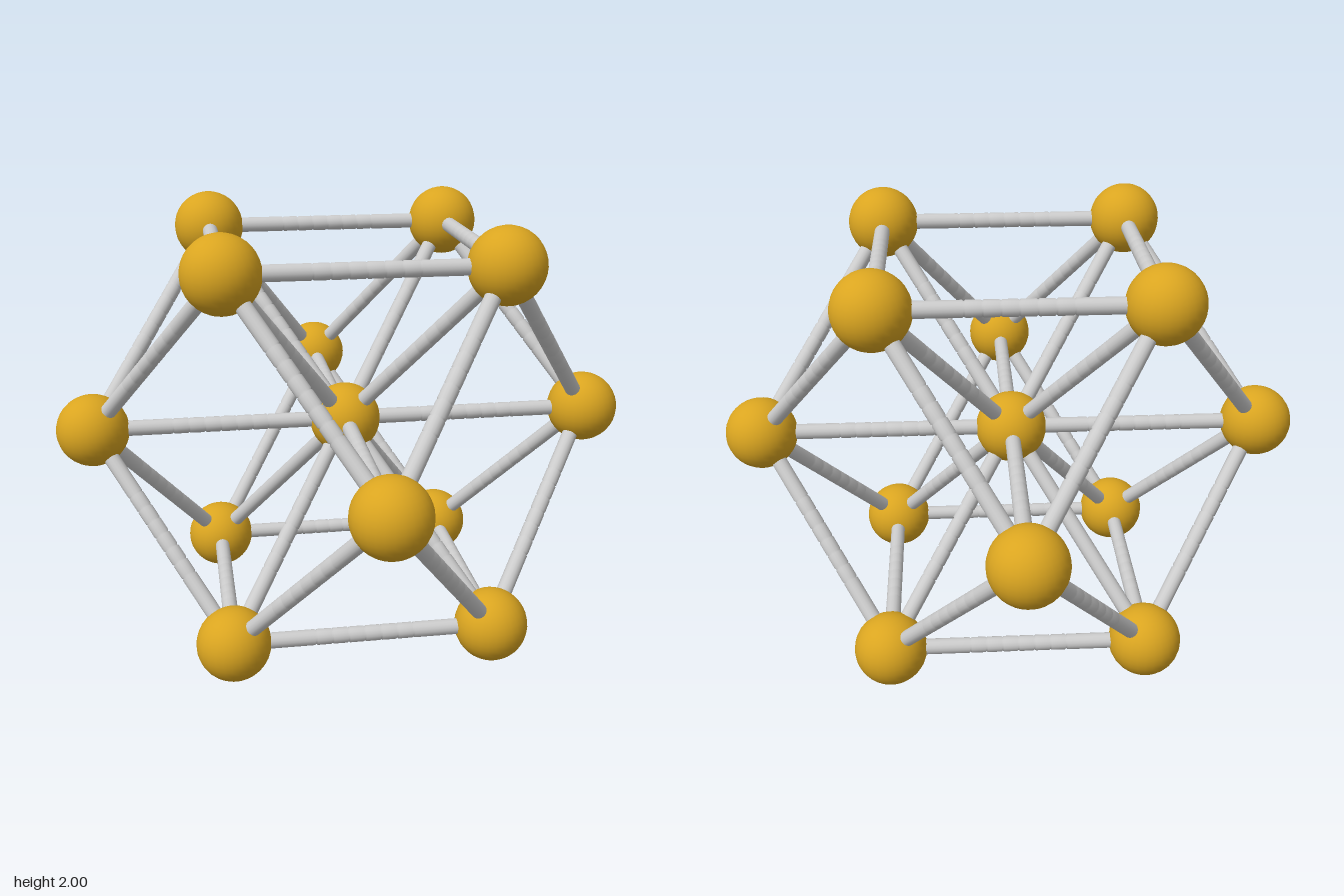
import * as THREE from 'three';

const REACH = 0.833;       // offset of the outer balls along two axes
const BALL_RADIUS = 0.167;
const ROD_RADIUS = 0.036;
const ROD_LENGTH = REACH * Math.SQRT2;

// Rod with six shallow ribs around its middle
function ribbedRodGeometry() {
  const ribs = 6, pitch = 0.074, groove = 0.006;
  const start = -ribs * pitch / 2;
  const points = [new THREE.Vector2(ROD_RADIUS, -ROD_LENGTH / 2)];
  for (let i = 0; i <= ribs; i++) {
    const y = start + i * pitch;
    points.push(
      new THREE.Vector2(ROD_RADIUS, y - groove),
      new THREE.Vector2(ROD_RADIUS - 0.005, y),
      new THREE.Vector2(ROD_RADIUS, y + groove)
    );
  }
  points.push(new THREE.Vector2(ROD_RADIUS, ROD_LENGTH / 2));
  return new THREE.LatheGeometry(points, 16);
}

export function createModel() {
  const model = new THREE.Group();
  model.name = 'ballAndRodLattice';

  const gold = new THREE.MeshStandardMaterial({ color: 0xdaa520 });
  const grey = new THREE.MeshStandardMaterial({ color: 0xcccccc });
  const ballGeometry = new THREE.SphereGeometry(BALL_RADIUS, 28, 18);
  const ribbed = ribbedRodGeometry();
  const plain = new THREE.CylinderGeometry(ROD_RADIUS, ROD_RADIUS, ROD_LENGTH, 16);

  // Centre ball and the twelve corners of a cuboctahedron
  const centre = new THREE.Vector3(0, 1, 0);
  const corners = [];
  for (const a of [-REACH, REACH]) {
    for (const b of [-REACH, REACH]) {
      corners.push(
        new THREE.Vector3(a, 1 + b, 0),
        new THREE.Vector3(0, 1 + a, b),
        new THREE.Vector3(a, 1, b)
      );
    }
  }

  function addBall(position, name) {
    const ball = new THREE.Mesh(ballGeometry, gold);
    ball.name = name;
    ball.position.copy(position);
    model.add(ball);
  }

  function addRod(from, to, name, geometry = ribbed) {
    const rod = new THREE.Mesh(geometry, grey);
    rod.name = name;
    rod.position.addVectors(from, to).multiplyScalar(0.5);
    const direction = new THREE.Vector3().subVectors(to, from).normalize();
    rod.quaternion.setFromUnitVectors(new THREE.Vector3(0, 1, 0), direction);
    model.add(rod);
  }

  addBall(centre, 'centreBall');
  corners.forEach((corner, i) => {
    addBall(corner, 'outerBall');

    // Spokes; the one running down and back has no ribs
    const isPlain = corner.x === 0 && corner.y < 1 && corner.z < 0;
    addRod(centre, corner, 'spokeRod', isPlain ? plain : ribbed);

    // Edges between neighbouring corners
    for (const other of corners.slice(i + 1)) {
      if (Math.abs(corner.distanceTo(other) - ROD_LENGTH) < 0.01) {
        addRod(corner, other, 'edgeRod');
      }
    }
  });

  return model;
}
